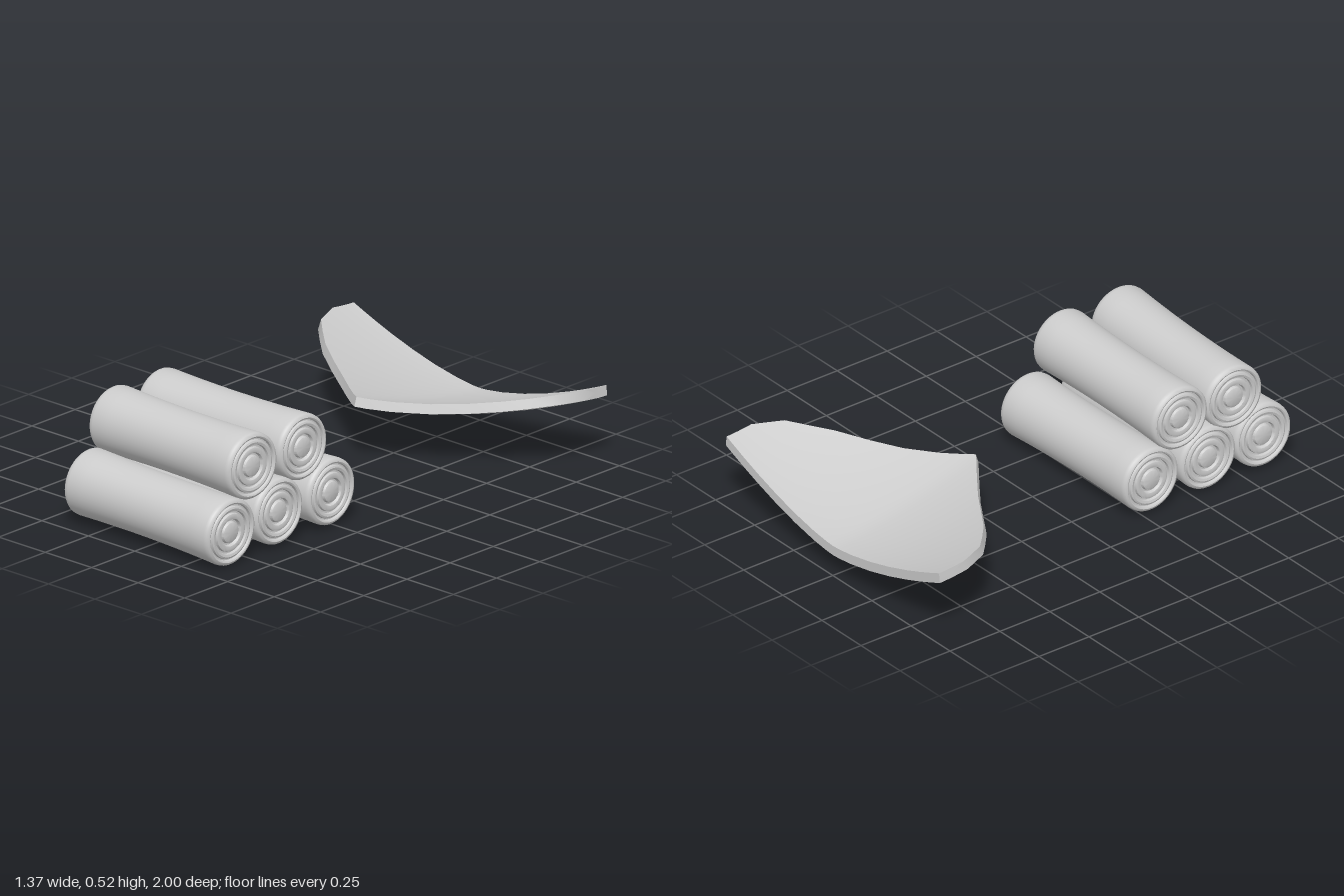
import * as THREE from 'three';
import { toCreasedNormals } from 'three/addons/utils/BufferGeometryUtils.js';

const grey = new THREE.MeshStandardMaterial({ color: 0xcccccc });

// Half of a roll end: [radius fraction, distance in from the end], axis outwards
const END = [
  [0, 0], [0.24, 0], [0.3, 0.004], [0.33, 0.016], [0.38, 0.016], [0.41, 0.003],
  [0.5, 0], [0.56, 0.003], [0.58, 0.014], [0.63, 0.014], [0.65, 0.003],
  [0.72, 0], [0.77, 0.003], [0.79, 0.013], [0.83, 0.013], [0.85, 0.003],
  [0.89, 0], [0.95, 0.003], [0.985, 0.01], [1, 0.024],
];

// Rolled bundle with ringed ends and a slightly pinched waist, between two end points
function makeRoll(a, b, r) {
  const len = a.distanceTo(b);
  const pts = END.map(([f, d]) => new THREE.Vector2(f * r, d - len / 2));
  for (let i = 1; i < 10; i++) {
    const t = i / 5 - 1;
    pts.push(new THREE.Vector2(r - 0.008 * (1 - t * t), t * (len / 2 - 0.024)));
  }
  for (const [f, d] of [...END].reverse()) pts.push(new THREE.Vector2(f * r, len / 2 - d));
  const roll = new THREE.Mesh(toCreasedNormals(new THREE.LatheGeometry(pts, 48), 0.7), grey);
  roll.position.copy(a).add(b).multiplyScalar(0.5);
  roll.quaternion.setFromUnitVectors(new THREE.Vector3(0, 1, 0), b.clone().sub(a).normalize());
  return roll;
}

// Front outline of the curved sheet: [x, z] on one side
const OUTLINE = [
  [0, -0.272], [0.04, -0.3], [0.12, -0.36], [0.24, -0.447], [0.36, -0.525], [0.48, -0.605],
  [0.56, -0.675], [0.63, -0.74], [0.66, -0.805], [0.685, -0.865],
];

// Height of the underside: it sags in the middle and climbs to the sides and the point
const underside = (x, z) =>
  0.098 + 0.187 * Math.pow(Math.abs(x) / 0.685, 1.56) + 0.165 * Math.pow(Math.max(0, z + 1) / 0.73, 1.5);

// Closed cross-sections running along x, each a loop of underside then top
function makeSheet() {
  const N = 14;
  const stations = [...OUTLINE.slice(1).reverse().map(([x, z]) => [-x, z]), ...OUTLINE];
  const loops = stations.map(([x, zf]) => {
    const loop = [];
    for (let j = 0; j <= N; j++) {
      const z = -1 + (j / N) * (zf + 1);
      loop.push(new THREE.Vector3(x, underside(x, z), z));
    }
    for (let j = N; j >= 0; j--) {
      // the top is drawn in a little along the rim
      const z = -1 + (j / N) * (zf - 0.012 + 1);
      loop.push(new THREE.Vector3(x * 0.992, underside(x, z) + 0.042, z));
    }
    return loop;
  });
  // Close both ends by shrinking a copy of the last loop to its middle
  const shrink = (loop) => {
    const c = loop.reduce((s, p) => s.add(p), new THREE.Vector3()).divideScalar(loop.length);
    return loop.map(() => c);
  };
  loops.unshift(shrink(loops[0]));
  loops.push(shrink(loops[loops.length - 1]));

  const pos = [], idx = [], M = loops[0].length;
  loops.forEach((loop) => loop.forEach((p) => pos.push(p.x, p.y, p.z)));
  for (let i = 0; i < loops.length - 1; i++) {
    for (let j = 0; j < M; j++) {
      const a = i * M + j, c = i * M + ((j + 1) % M);
      if (i < loops.length - 2) idx.push(a, a + M, c);
      if (i > 0) idx.push(c, a + M, c + M);
      else idx.push(a, a + M, c + M);
      if (i === loops.length - 2) idx.push(a, a + M, c);
    }
  }
  const geo = new THREE.BufferGeometry();
  geo.setAttribute('position', new THREE.Float32BufferAttribute(pos, 3));
  geo.setIndex(idx);
  return new THREE.Mesh(toCreasedNormals(geo, 0.8), grey);
}

export function createModel() {
  const model = new THREE.Group();

  // Stack of rolls: z and y at the right end, z and y at the left end, radius
  const stack = new THREE.Group();
  stack.name = 'rollStack';
  const rolls = {
    topFrontRoll: [0.703, 0.384, 0.735, 0.388, 0.138],
    topBackRoll: [0.435, 0.384, 0.441, 0.387, 0.137],
    bottomFrontRoll: [0.85, 0.16, 0.86, 0.143, 0.139],
    bottomMiddleRoll: [0.575, 0.154, 0.581, 0.155, 0.138],
    bottomBackRoll: [0.29, 0.156, 0.277, 0.154, 0.139],
  };
  for (const [name, [z0, y0, z1, y1, r]] of Object.entries(rolls)) {
    const roll = makeRoll(new THREE.Vector3(-0.395, y0, z0), new THREE.Vector3(0.392, y1, z1), r);
    roll.name = name;
    stack.add(roll);
  }
  model.add(stack);

  // Curved pointed sheet behind the stack
  const sheet = makeSheet();
  sheet.name = 'curvedSheet';
  model.add(sheet);

  return model;
}
